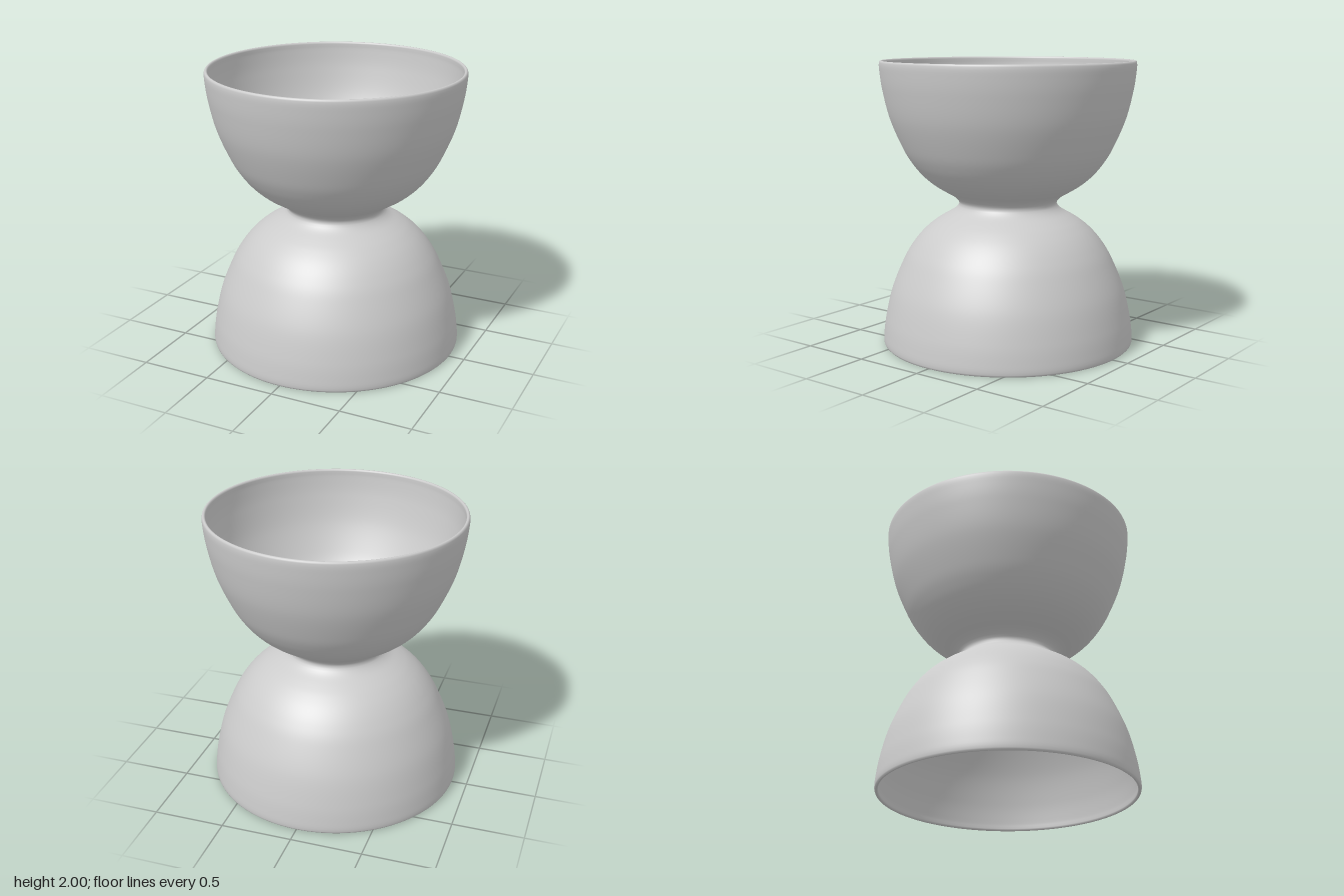
import * as THREE from 'three';

const WALL = 0.025;

export function createModel() {
  const group = new THREE.Group();
  group.name = 'hourglassStool';

  // Outer curve of the upper bowl: radius and height above the waist
  const upper = [
    [0.36, 0.028], [0.395, 0.058], [0.465, 0.098], [0.53, 0.14], [0.605, 0.205],
    [0.675, 0.29], [0.74, 0.4], [0.824, 0.6], [0.873, 0.8], [0.892, 0.94], [0.893, 0.985],
  ];
  // Mirror it about the waist, listed from bottom to top
  const outline = [
    ...upper.map(([r, h]) => new THREE.Vector2(r, 1 - h)).reverse(),
    new THREE.Vector2(0.345, 1),
    ...upper.map(([r, h]) => new THREE.Vector2(r, 1 + h)),
  ];
  const curve = new THREE.SplineCurve(outline);

  // Sample the outer wall and offset it inwards for the inner wall
  const outer = [];
  const inner = [];
  const steps = 120;
  for (let i = 0; i <= steps; i++) {
    const p = curve.getPointAt(i / steps);
    const t = curve.getTangentAt(i / steps);
    outer.push(p);
    inner.push(new THREE.Vector2(p.x - t.y * WALL, p.y + t.x * WALL));
  }

  // Softly rounded rims close the shell at both ends
  const rim = (y, dir) => [[0.89, 0.006], [0.884, 0], [0.876, 0], [0.87, 0.006]]
    .map(([r, d]) => new THREE.Vector2(r, y - dir * d));
  const bottomRim = rim(0, -1);
  const topRim = rim(2, 1);
  const profile = [
    bottomRim[1], bottomRim[0], ...outer, ...topRim,
    ...inner.reverse(), bottomRim[3], bottomRim[2], bottomRim[1].clone(),
  ];

  const shell = new THREE.Mesh(
    new THREE.LatheGeometry(profile, 128),
    new THREE.MeshStandardMaterial({ color: 0xcccccc, side: THREE.DoubleSide }),
  );
  shell.name = 'doubleBowlShell';
  group.add(shell);
  return group;
}
